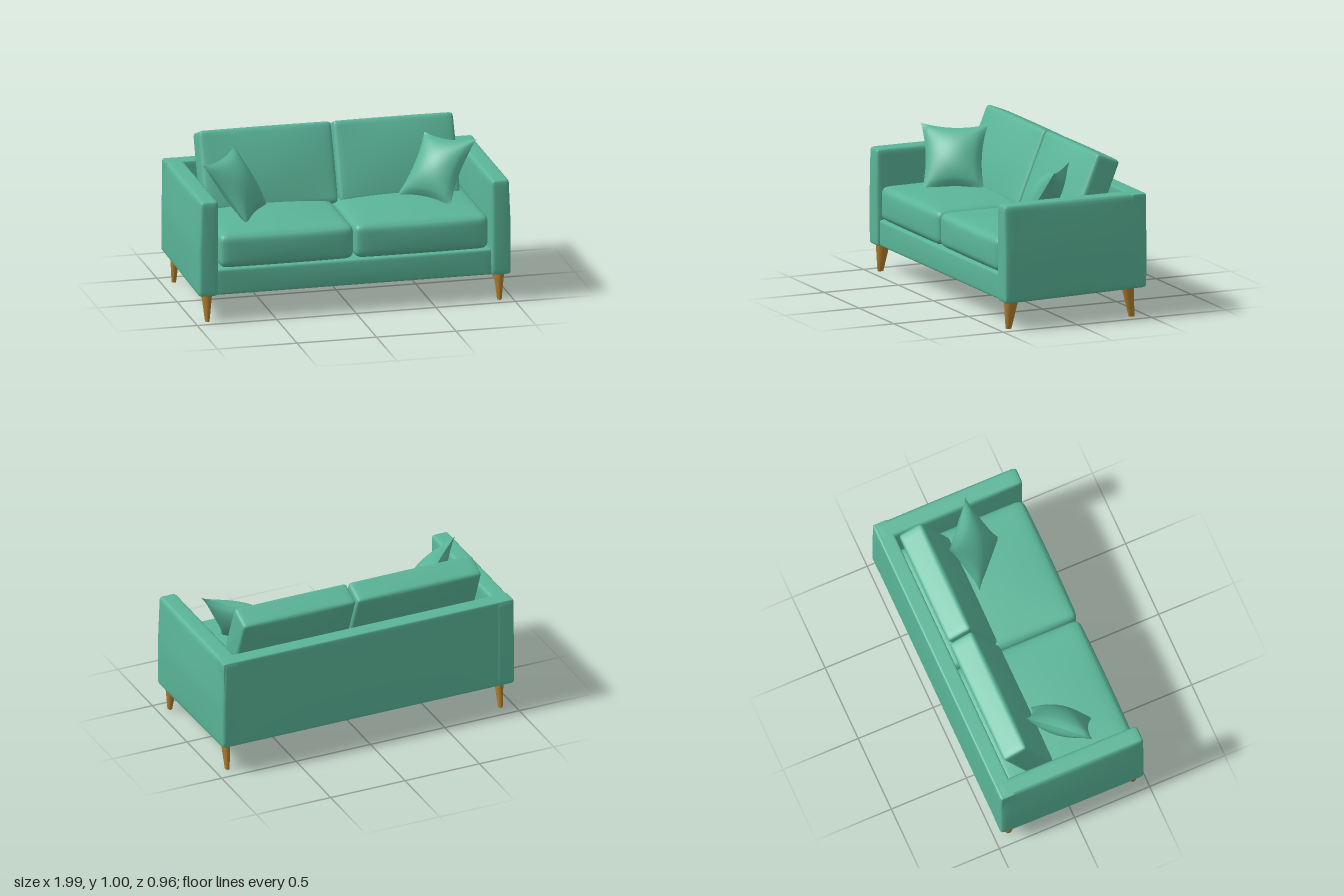
import * as THREE from 'three';
import { mergeVertices, mergeGeometries } from 'three/addons/utils/BufferGeometryUtils.js';

const clamp = THREE.MathUtils.clamp;

// Rounded, gently stuffed box: size, corner radius, bulge per axis, optional extra rule
function softBox(size, r, bulge, rule) {
  let g = new THREE.BoxGeometry(2, 2, 2, 18, 18, 18);
  g.deleteAttribute('uv');
  g.deleteAttribute('normal');
  g = mergeVertices(g, 1e-5);
  const half = size.map((s) => s / 2);
  const pos = g.attributes.position;
  for (let i = 0; i < pos.count; i++) {
    const n = [pos.getX(i), pos.getY(i), pos.getZ(i)].map((t) => Math.sin((t * Math.PI) / 2));
    const p = new THREE.Vector3(...n.map((t, k) => t * half[k]));
    const inner = new THREE.Vector3(...p.toArray().map((c, k) => clamp(c, r - half[k], half[k] - r)));
    p.sub(inner).setLength(r).add(inner);
    const [a, b, c] = n.map((t) => 1 - t * t);
    p.x += bulge[0] * n[0] * b * c;
    p.y += bulge[1] * n[1] * a * c;
    p.z += bulge[2] * n[2] * a * b;
    if (rule) rule(p, n);
    pos.setXYZ(i, p.x, p.y, p.z);
  }
  g.computeVertexNormals();
  return g;
}

// One puffed sheet between four corners, as seen from its outer side
function pillowSheet(tl, tr, br, bl, puff) {
  const g = new THREE.PlaneGeometry(2, 2, 18, 18);
  const [a, b, c, d] = [tl, tr, br, bl].map((p) => new THREE.Vector3(...p));
  const normal = c.clone().sub(d).add(b).sub(a).cross(a.clone().sub(d).add(b).sub(c)).normalize();
  const pos = g.attributes.position;
  for (let i = 0; i < pos.count; i++) {
    const x = pos.getX(i), y = pos.getY(i);
    const fx = 1 - x * x, fy = 1 - y * y;
    // edges are drawn in between the pointed corners
    const u = (1 + x * (1 - 0.13 * fy)) / 2, v = (1 + y * (1 - 0.13 * fx)) / 2;
    const p = d.clone().lerp(c, u).lerp(a.clone().lerp(b, u), v);
    p.addScaledVector(normal, puff * Math.pow(Math.max(fx * fy, 0), 0.6));
    pos.setXYZ(i, p.x, p.y, p.z);
  }
  g.computeVertexNormals();
  return g;
}

function pillow(tl, tr, br, bl) {
  return mergeGeometries([pillowSheet(tl, tr, br, bl, 0.085), pillowSheet(tr, tl, bl, br, 0.085)]);
}

export function createModel() {
  const model = new THREE.Group();
  const fabric = new THREE.MeshStandardMaterial({ color: 0x5ab598 });
  fabric.name = 'green fabric';
  const wood = new THREE.MeshStandardMaterial({ color: 0xb07d2c });
  wood.name = 'warm wood';

  const add = (name, geometry, material, x, y, z) => {
    const mesh = new THREE.Mesh(geometry, material);
    mesh.name = name;
    mesh.position.set(x, y, z);
    model.add(mesh);
    return mesh;
  };

  // The underside rises slightly towards the rear
  const slope = (p, n) => {
    p.y += 0.02 * (1 - n[1]) / 2 * (1 - n[2]) / 2;
  };

  // Frame: base, back and arms
  add('base', softBox([1.74, 0.165, 0.92], 0.015, [0, 0, 0.006], slope), fabric, 0, 0.25, -0.003);
  add('backPanel', softBox([1.95, 0.585, 0.1], 0.012, [0, 0, 0.004]), fabric, 0, 0.48, -0.428);
  for (const side of [1, -1]) {
    const label = side > 0 ? 'left' : 'right';
    const arm = softBox([0.125, 0.607, 0.953], 0.022, [0.014, 0.002, 0.004], (p, n) => {
      slope(p, n);
      // outer face leans in towards the top
      p.x -= side * 0.012 * Math.max(n[1], 0) * Math.max(side * n[0], 0);
    });
    add(label + 'Arm', arm, fabric, side * 0.92, 0.469, -0.003);

    // Seat and back cushions
    add(label + 'SeatCushion', softBox([0.842, 0.215, 0.85], 0.045, [0.004, 0.024, 0.01]),
      fabric, side * 0.424, 0.442, 0.04);
    const width = side > 0 ? 0.755 : 0.832;
    const back = add(label + 'BackCushion', softBox([width, 0.5, 0.165], 0.022, [0.004, 0.004, 0.024]),
      fabric, side > 0 ? 0.418 : -0.388, 0.743, -0.217);
    back.rotation.x = -0.385;

    // Tapered legs, splayed a little front and rear
    for (const front of [true, false]) {
      const height = front ? 0.18 : 0.2;
      const leg = new THREE.CylinderGeometry(front ? 0.047 : 0.041, 0.019, height, 20);
      leg.scale(0.72, 1, 1);
      const shear = front ? -0.1 : 0.14;
      leg.applyMatrix4(new THREE.Matrix4().set(1, 0, 0, 0, 0, 1, 0, 0, 0, shear, 1, 0, 0, 0, 0, 1));
      leg.computeVertexNormals();
      add(label + (front ? 'FrontLeg' : 'RearLeg'), leg, wood,
        side * 0.918, height / 2, front ? 0.416 : -0.389);
    }
  }

  // Throw pillows leaning in the corners
  add('rightThrowPillow', pillow(
    [-0.88, 0.908, 0.17], [-0.6, 0.922, -0.15], [-0.42, 0.56, -0.04], [-0.63, 0.54, 0.28],
  ), fabric, 0, 0, 0);
  add('leftThrowPillow', pillow(
    [0.59, 0.922, -0.137], [0.86, 0.925, 0.09], [0.66, 0.55, 0.23], [0.39, 0.57, -0.02],
  ), fabric, 0, 0, 0);

  return model;
}
